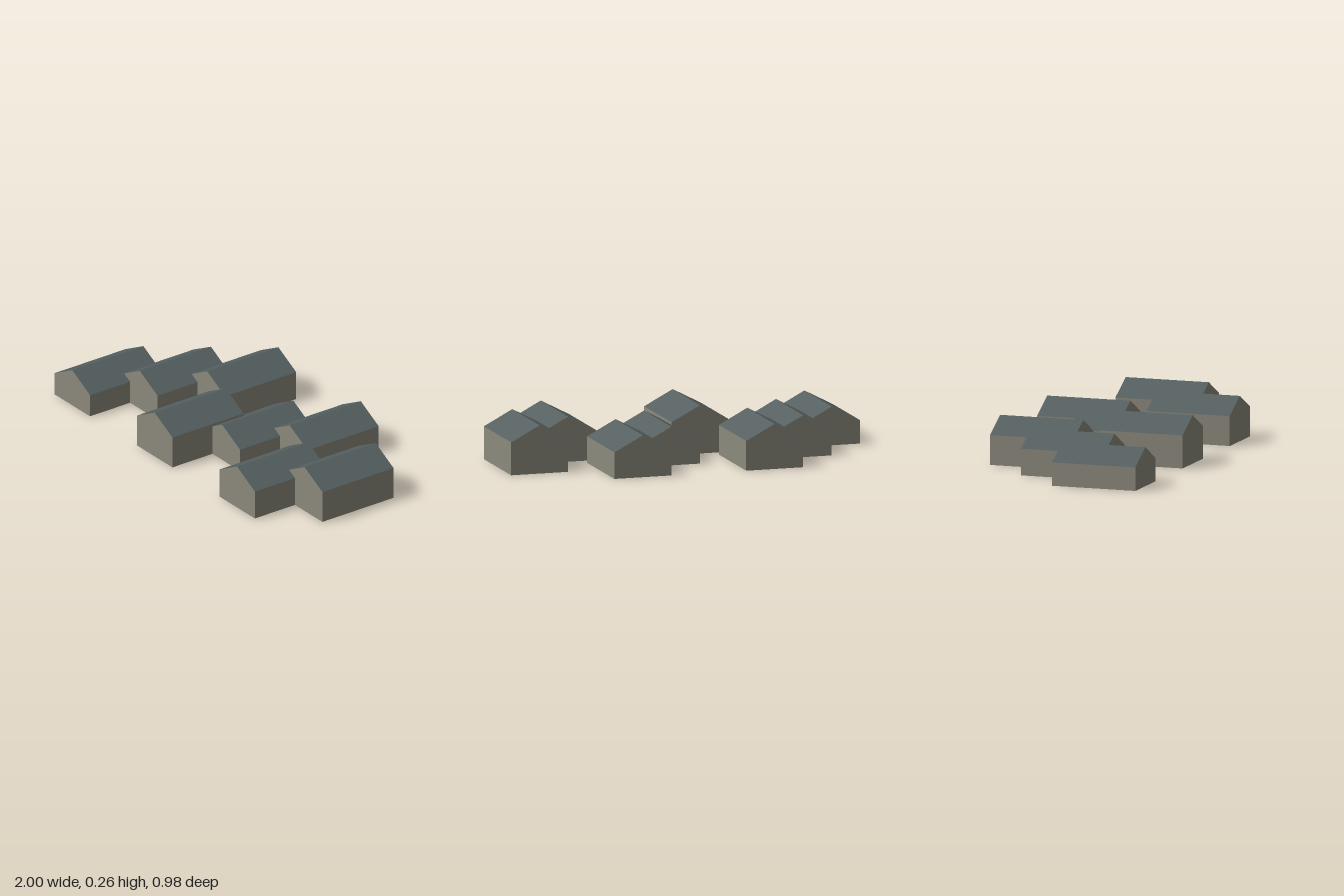
import * as THREE from 'three';

const WIDTH = 0.312, DEPTH = 0.462, RISE = 0.082;

const wallMat = new THREE.MeshStandardMaterial({ color: 0x8c8a7c, side: THREE.DoubleSide, flatShading: true });
wallMat.name = 'wall stone';
const roofMat = new THREE.MeshStandardMaterial({ color: 0x566060, side: THREE.DoubleSide, flatShading: true });
roofMat.name = 'roof slate';

function panel(name, geometry, material) {
  const mesh = new THREE.Mesh(geometry, material);
  mesh.name = name;
  return mesh;
}

// One open-bottomed gabled shell, standing on y = 0
function house(eave) {
  const group = new THREE.Group();
  const w = WIDTH / 2, d = DEPTH / 2, ridge = eave + RISE;

  // Five-sided end walls
  const gable = new THREE.ShapeGeometry(new THREE.Shape([
    new THREE.Vector2(-w, 0), new THREE.Vector2(w, 0), new THREE.Vector2(w, eave),
    new THREE.Vector2(0, ridge), new THREE.Vector2(-w, eave),
  ]));
  const front = panel('frontGable', gable, wallMat);
  front.position.z = d;
  const back = panel('backGable', gable, wallMat);
  back.position.z = -d;
  back.rotation.y = Math.PI;
  group.add(front, back);

  // Side walls and roof slopes, mirrored
  for (const side of [-1, 1]) {
    const label = side > 0 ? 'left' : 'right';
    const wall = panel(label + 'Wall', new THREE.PlaneGeometry(DEPTH, eave), wallMat);
    wall.rotation.y = side * Math.PI / 2;
    wall.position.set(side * w, eave / 2, 0);

    const slope = new THREE.PlaneGeometry(Math.hypot(w, RISE), DEPTH).rotateX(-Math.PI / 2);
    const roof = panel(label + 'RoofSlope', slope, roofMat);
    roof.rotation.z = -side * Math.atan2(RISE, w);
    roof.position.set(side * w / 2, eave + RISE / 2, 0);
    group.add(wall, roof);
  }
  return group;
}

export function createModel() {
  const model = new THREE.Group();
  model.name = 'terracedHouses';
  // Staggered in three rows, with four repeating heights
  for (let i = 0; i < 8; i++) {
    const h = house(0.124 + 0.017 * (i % 4));
    h.name = 'house' + (i + 1);
    h.position.set(-0.844 + i * 1.688 / 7, 0, 0.26 * (1 - i % 3));
    model.add(h);
  }
  return model;
}
